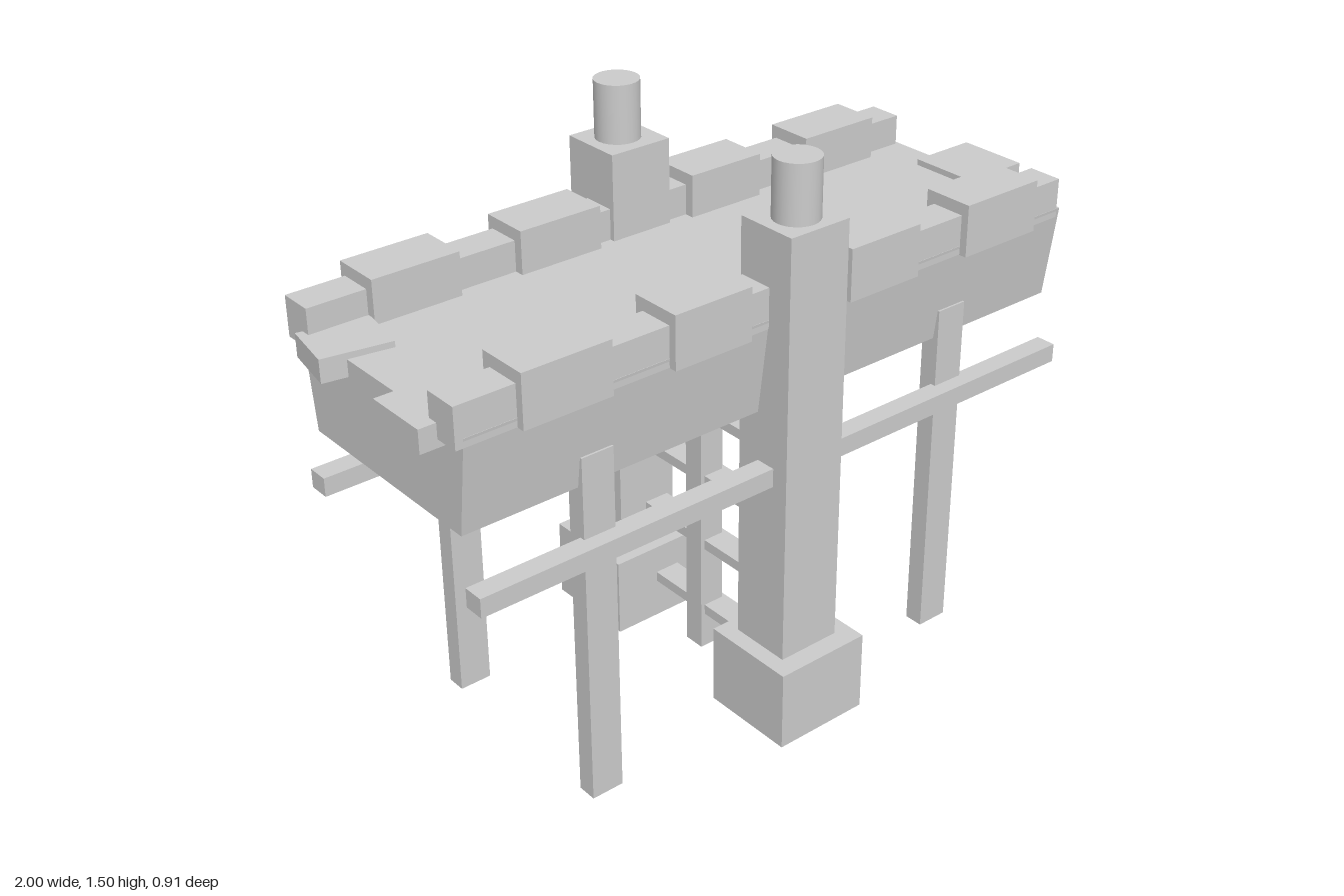
import * as THREE from 'three';

export function createModel() {
  const model = new THREE.Group();
  const mat = new THREE.MeshStandardMaterial({ color: 0xcccccc, flatShading: true });
  const smooth = new THREE.MeshStandardMaterial({ color: 0xcccccc });

  const add = (name, geo, x = 0, y = 0, z = 0, m = mat) => {
    const mesh = new THREE.Mesh(geo, m);
    mesh.name = name;
    mesh.position.set(x, y, z);
    model.add(mesh);
    return mesh;
  };
  // box given by its limits on each axis
  const box = (name, [x0, x1], [y0, y1], [z0, z1]) =>
    add(name, new THREE.BoxGeometry(x1 - x0, y1 - y0, z1 - z0),
      (x0 + x1) / 2, (y0 + y1) / 2, (z0 + z1) / 2);

  // deck: a trough-shaped block, narrower at the bottom
  const section = new THREE.Shape([
    [-0.334, 1.128], [-0.3, 0.875], [0.284, 0.875], [0.314, 1.128],
  ].map(([u, v]) => new THREE.Vector2(u, v)));
  const deck = new THREE.ExtrudeGeometry(section, { depth: 1.82, bevelEnabled: false });
  deck.rotateY(Math.PI / 2); // shape u becomes -z, depth becomes +x
  add('deck', deck, -0.935);

  // everything that stands on both long sides
  const sides = [
    { name: 'front', x: -0.015, pillar: [0.235, 0.403], base: [0.193, 0.456], peg: 0.322,
      rail: [0.24, 0.333], block: [0.216, 0.354], leg: [0.264, 0.316], beam: [0.302, 0.357],
      blocks: [[-0.8, -0.564], [-0.393, -0.172], [0.134, 0.356], [0.521, 0.767]] },
    { name: 'back', x: -0.021, pillar: [-0.404, -0.232], base: [-0.454, -0.19], peg: -0.323,
      rail: [-0.337, -0.246], block: [-0.354, -0.22], leg: [-0.298, -0.246], beam: [-0.344, -0.286],
      blocks: [[-0.8, -0.564], [-0.393, -0.158], [0.131, 0.356], [0.516, 0.755]] },
  ];
  for (const s of sides) {
    // pillar with footing and round peg
    box(s.name + 'Pillar', [s.x - 0.088, s.x + 0.088], [0.1, 1.354], s.pillar);
    box(s.name + 'Footing', [s.x - 0.133, s.x + 0.135], [0, 0.217], s.base);
    add(s.name + 'Peg', new THREE.CylinderGeometry(0.058, 0.058, 0.2, 24), s.x, 1.405, s.peg, smooth);

    // parapet rail with raised blocks
    box(s.name + 'Rail', [-0.955, 0.875], [1.105, 1.209], s.rail);
    for (const b of s.blocks) box(s.name + 'ParapetBlock', b, [1.104, 1.241], s.block);

    // legs and long cross beam
    for (const leg of [[-0.628, -0.54], [0.481, 0.57]]) box(s.name + 'Leg', leg, [0.008, 0.955], s.leg);
    box(s.name + 'Beam', [-0.935, 0.885], [0.695, 0.745], s.beam);
  }

  // ladder between the pillars
  box('ladderPole', [-0.037, 0.034], [0.008, 0.9], [-0.048, 0.012]);
  for (const y of [0.124, 0.327, 0.521, 0.716]) {
    box('ladderRung', [-0.025, 0.047], [y - 0.014, y + 0.014], [-0.26, 0.26]);
  }

  // stepping planks overhanging both ends
  const plankY = [1.084, 1.144];
  box('leftPlank', [0.812, 1], plankY, [-0.1, 0.093]);
  box('rightFrontPlank', [-1, -0.842], plankY, [0.096, 0.267]);
  const skewed = box('rightBackPlank', [-0.987, -0.809], plankY, [-0.26, -0.113]);
  skewed.rotation.y = -0.17;

  return model;
}
